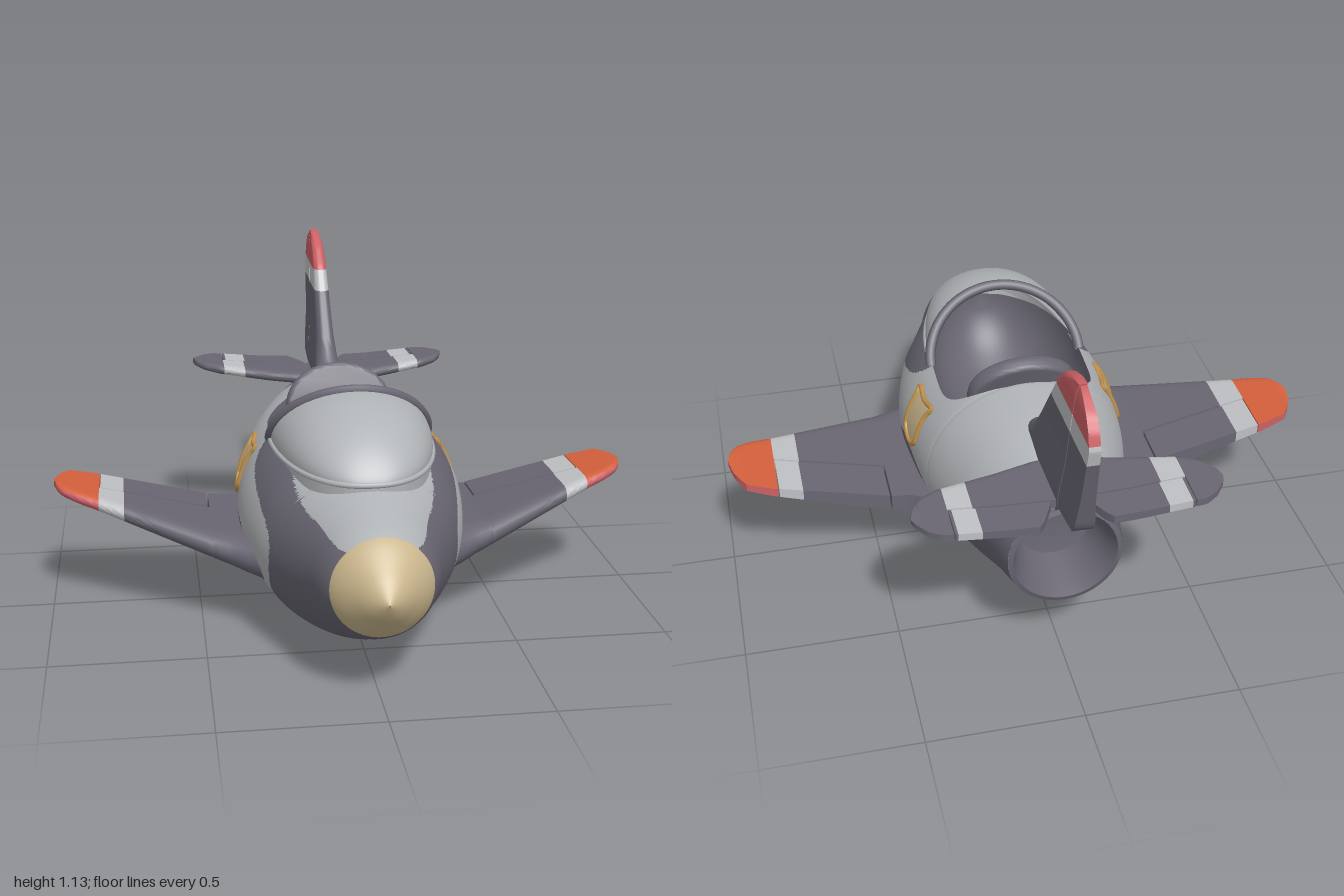
import * as THREE from 'three';
import { toCreasedNormals } from 'three/addons/utils/BufferGeometryUtils.js';

const paint = (name, color) => new THREE.MeshStandardMaterial({ name, color, side: THREE.DoubleSide });
const GREY = paint('light grey', 0xb0b3b6);
const DARK = paint('dark slate', 0x696672);
const STRIPE = paint('pale stripe', 0xbec0c3);
const TAN = paint('tan', 0xc9b58c);
const ORANGE = paint('orange', 0xd4603c);
const CORAL = paint('coral red', 0xcb6165);
const GOLD = paint('gold', 0xc0914c);

// Lookup through sorted [key, value] pairs, linear or smooth
function lut(pairs, smooth = false) {
  const slope = (i) => {
    const a = pairs[Math.max(i - 1, 0)], b = pairs[Math.min(i + 1, pairs.length - 1)];
    return (b[1] - a[1]) / (b[0] - a[0]);
  };
  return (x) => {
    if (x <= pairs[0][0]) return pairs[0][1];
    let i = 0;
    while (i < pairs.length - 2 && x > pairs[i + 1][0]) i++;
    const [x0, y0] = pairs[i], [x1, y1] = pairs[i + 1];
    const d = x1 - x0, t = Math.min((x - x0) / d, 1), u = 1 - t;
    if (!smooth) return y0 * u + y1 * t;
    return u * u * ((1 + 2 * t) * y0 + t * d * slope(i)) + t * t * ((3 - 2 * t) * y1 - u * d * slope(i + 1));
  };
}

// Surface from rows x cols points; pick(i, j, centre) gives each triangle its material index
function grid(name, rows, cols, point, mats, pick = () => 0, crease = 0) {
  const pos = [], faces = mats.map(() => []);
  for (let i = 0; i <= rows; i++) for (let j = 0; j <= cols; j++) pos.push(...point(i, j));
  for (let i = 0; i < rows; i++) for (let j = 0; j < cols; j++) {
    const a = i * (cols + 1) + j, b = a + 1, c = a + cols + 1, d = c + 1;
    for (const t of [[a, b, c], [b, d, c]]) {
      const mid = [0, 1, 2].map((k) => t.reduce((sum, v) => sum + pos[v * 3 + k], 0) / 3);
      faces[pick(i, j, mid)].push(...t);
    }
  }
  let geo = new THREE.BufferGeometry();
  geo.setAttribute('position', new THREE.Float32BufferAttribute(pos, 3));
  geo.setIndex(faces.flat());
  let start = 0;
  faces.forEach((f, k) => { if (f.length) geo.addGroup(start, f.length, k); start += f.length; });
  if (crease) geo = toCreasedNormals(geo, crease);
  else geo.computeVertexNormals();
  const mesh = new THREE.Mesh(geo, mats.length > 1 ? mats : mats[0]);
  mesh.name = name;
  return mesh;
}

function tube(name, points, radius, mat, closed = false) {
  const curve = new THREE.CatmullRomCurve3(points.map((p) => new THREE.Vector3(...p)), closed);
  const mesh = new THREE.Mesh(new THREE.TubeGeometry(curve, 80, radius, 8, closed), mat);
  mesh.name = name;
  return mesh;
}

// Fuselage stations: z, top, bottom, half width, height of widest point
const stations = [
  [-0.72, 0.595, 0.23, 0.182, 0.4125], [-0.55, 0.64, 0.16, 0.22, 0.405], [-0.4, 0.678, 0.11, 0.275, 0.395],
  [-0.2, 0.703, 0.05, 0.335, 0.38], [0, 0.705, 0.01, 0.362, 0.37], [0.2, 0.715, 0, 0.368, 0.36],
  [0.4, 0.68, 0.02, 0.333, 0.35], [0.55, 0.62, 0.06, 0.277, 0.35], [0.7, 0.575, 0.125, 0.215, 0.355],
  [0.86, 0.515, 0.203, 0.156, 0.36], [0.95, 0.435, 0.285, 0.075, 0.36], [0.985, 0.39, 0.33, 0.031, 0.36],
  [1, 0.363, 0.357, 0.003, 0.36],
];
const [topAt, bottomAt, widthAt, midAt] = [1, 2, 3, 4].map((k) => lut(stations.map((s) => [s[0], s[k]]), true));
const bodyPoint = (z, a) => {
  const c = Math.cos(a), m = midAt(z);
  return [widthAt(z) * Math.sin(a), m + c * (c > 0 ? topAt(z) - m : m - bottomAt(z)), z];
};
const bodyX = (y, z) => {
  const d = y - midAt(z), r = d > 0 ? topAt(z) - midAt(z) : midAt(z) - bottomAt(z);
  return widthAt(z) * Math.sqrt(Math.max(0, 1 - (d / r) ** 2));
};
// Cockpit opening half width, from z -0.19 to 0.55
const holeAt = (z) => 0.258 * Math.sqrt(Math.max(0, 1 - (z > 0.13 ? ((z - 0.13) / 0.42) ** 2 : ((0.13 - z) / 0.32) ** 6)));
const holeAngle = (z) => Math.asin(Math.min(1, holeAt(z) / widthAt(z)));

// Dark camouflage outlines in (z, y), smoothed
const camo = [
  [[1.1, 0.46], [0.84, 0.475], [0.7, 0.5], [0.6, 0.515], [0.5, 0.55], [0.42, 0.6], [0.36, 0.66], [0.18, 0.66], [0.12, 0.62],
    [0.17, 0.56], [0.3, 0.5], [0.42, 0.45], [0.49, 0.39], [0.495, 0.34], [0.46, 0.25], [0.4, 0.17], [0.36, 0.1],
    [0.3, 0.05], [0.2, 0.02], [0.15, -0.05], [1.1, -0.05]],
  [[-0.76, 0.585], [-0.55, 0.58], [-0.45, 0.53], [-0.4, 0.47], [-0.41, 0.42], [-0.35, 0.37], [-0.28, 0.28],
    [-0.27, 0.21], [-0.32, 0.165], [-0.4, 0.16], [-0.5, 0.18], [-0.6, 0.215], [-0.76, 0.225]],
  [[0.12, 0.36], [0.3, 0.28], [0.38, 0.22], [0.33, 0.185], [-0.1, 0.195], [-0.2, 0.22], [-0.21, 0.27], [-0.1, 0.33]],
].map((p) => new THREE.CatmullRomCurve3(p.map(([z, y]) => new THREE.Vector3(z, y, 0)), true).getPoints(120));
const inside = (poly, x, y) => poly.reduce((hit, p, i) => {
  const q = poly[(i + 1) % poly.length];
  return (p.y > y) !== (q.y > y) && x < ((q.x - p.x) * (y - p.y)) / (q.y - p.y) + p.x ? !hit : hit;
}, false);

// Slab-like foil panel between spans p0..p1, limited to z front..back, with closed ends
const N = 12, S = 12;
function panel(name, foil, p0, p1, mats, { front = () => 9, back = () => -9, pick } = {}) {
  const point = (i, j) => {
    const p = p0 + ((p1 - p0) * Math.min(Math.max(i - 1, 0), S)) / S;
    const le = foil.le(p), te = foil.te(p), thick = foil.thick(p);
    const zA = Math.min(le, front(p)), zB = Math.max(te, back(p));
    const cap = i === 0 || i === S + 2;
    const k = j > 2 * N + 1 ? 0 : j <= N ? j : 2 * N + 1 - j;
    const z = cap ? (zA + zB) / 2 : zA + (zB - zA) * (k / N) ** 2;
    const f = Math.min(1, Math.max(0, (le - z) / (le - te)));
    const round = Math.min(0.3, (0.8 * thick) / (le - te));
    const nose = Math.sqrt(1 - Math.max(0, 1 - f / round) ** 2);
    const half = cap ? 0 : 0.5 * thick * nose * (1.05 - 0.35 * f);
    return foil.place(p, j <= N || j > 2 * N + 1 ? half : -half, z);
  };
  return grid(name, S + 2, 2 * N + 2, point, mats, pick, 0.7);
}

const flat = (height) => (p, off, z) => [p, height(p) - off, z];
const wing = {
  le: lut([[0.28, 0.42], [0.35, 0.37], [0.4, 0.335], [0.83, 0.12], [0.9, 0.09], [0.95, 0.055], [0.975, 0.01], [0.98, -0.03]]),
  te: lut([[0.28, -0.21], [0.36, -0.2], [0.4, -0.185], [0.85, -0.18], [0.93, -0.165], [0.965, -0.11], [0.98, -0.04]]),
  thick: lut([[0.28, 0.16], [0.36, 0.12], [0.45, 0.088], [0.83, 0.046], [0.95, 0.036], [0.98, 0.024]]),
  place: flat(lut([[0.28, 0.257], [0.36, 0.264], [0.45, 0.282], [0.83, 0.387], [0.98, 0.427]])),
};
const tail = {
  le: lut([[0, -0.5], [0.05, -0.515], [0.38, -0.62], [0.44, -0.66], [0.47, -0.71], [0.478, -0.75]]),
  te: lut([[0, -0.72], [0.05, -0.73], [0.105, -0.845], [0.4, -0.845], [0.44, -0.82], [0.47, -0.78], [0.478, -0.76]]),
  thick: lut([[0, 0.042], [0.4, 0.034], [0.478, 0.022]]),
  place: flat(lut([[0, 0.622], [0.2, 0.63], [0.478, 0.655]])),
};
const fin = {
  le: lut([[0.58, -0.3], [0.69, -0.34], [0.705, -0.405], [1.03, -0.65], [1.09, -0.72], [1.125, -0.8], [1.132, -0.85]]),
  te: lut([[0.58, -0.71], [0.62, -0.75], [0.655, -0.915], [1, -1], [1.05, -0.985], [1.09, -0.955], [1.12, -0.9], [1.132, -0.87]]),
  thick: lut([[0.58, 0.1], [0.7, 0.085], [0.8, 0.064], [1.09, 0.044], [1.132, 0.028]]),
  place: (p, off, z) => [off, p, z],
};
const thinner = (foil) => ({ ...foil, thick: (p) => foil.thick(p) * 0.6 });

function makeSide(name) {
  const side = new THREE.Group();
  side.name = name;
  // Wing with a separate flap; the tip is orange above and coral below and along its edge
  const cut = { back: () => -0.018 }, flap = { front: () => -0.025 };
  side.add(
    panel('wingRoot', wing, 0.28, 0.46, [DARK]),
    panel('wingMiddle', wing, 0.46, 0.747, [DARK], cut),
    panel('wingStripe', wing, 0.747, 0.83, [STRIPE], cut),
    panel('wingTip', wing, 0.83, 0.98, [ORANGE, CORAL], { pick: (i, j) => (j > N && j < 2 * N - 1 ? 0 : 1) }),
    panel('flap', wing, 0.466, 0.75, [DARK], flap),
    panel('flapStripe', wing, 0.75, 0.827, [STRIPE], flap),
  );
  // Tailplane with a separate elevator on a thin hinge
  const tailCut = { back: () => -0.728 }, elevator = { front: () => -0.734 };
  side.add(
    panel('tailplane', tail, 0, 0.29, [DARK], tailCut),
    panel('tailplaneStripe', tail, 0.29, 0.367, [STRIPE], tailCut),
    panel('tailplaneTip', tail, 0.367, 0.478, [DARK]),
    panel('elevator', tail, 0.055, 0.283, [DARK], elevator),
    panel('elevatorStripe', tail, 0.283, 0.355, [STRIPE], elevator),
    panel('elevatorEnd', tail, 0.355, 0.364, [DARK], elevator),
    panel('elevatorHinge', thinner(tail), 0.06, 0.37, [DARK], { front: () => -0.71, back: () => -0.75 }),
  );
  // Plain shield plate wrapped on the flank
  const half = lut([[0.395, 0.015], [0.408, 0.045], [0.43, 0.064], [0.535, 0.068], [0.56, 0.078]]);
  const onBody = (y, s) => {
    const z = 0.01 + s * half(y);
    return [bodyX(y, z) + 0.003, y, z];
  };
  const rowY = (i) => 0.395 + 0.0165 * i;
  side.add(grid('shieldPlate', 10, 6, (i, j) => onBody(rowY(i), 1 - j / 3), [TAN]));
  const edge = [1, -1].map((s) => Array.from({ length: 11 }, (_, i) => onBody(rowY(i), s)));
  side.add(tube('shieldBorder', [...edge[0], onBody(0.552, 0), ...edge[1].reverse()], 0.009, GOLD, true));
  return side;
}

export function createModel() {
  const model = new THREE.Group();
  model.name = 'jet';

  // Fuselage with nose cone, camouflage and cockpit opening
  model.add(grid('fuselage', 172, 220, (i, j) => {
    const z = 1 - 0.01 * i, a0 = holeAngle(z);
    return bodyPoint(z, a0 + ((2 * Math.PI - 2 * a0) * j) / 220);
  }, [GREY, DARK, TAN], (i, j, [, y, z]) => (z > 0.86 ? 2 : camo.some((p) => inside(p, z, y)) ? 1 : 0)));

  // Cockpit tub hung from the rim of the opening
  model.add(grid('cockpitTub', 74, 24, (i, j) => {
    const z = 0.55 - 0.01 * i, a = (Math.PI * j) / 24, h = holeAt(z);
    return [-h * Math.cos(a), bodyPoint(z, holeAngle(z))[1] - 1.1 * h * Math.sin(a), z];
  }, [DARK]));

  // Canopy of leaning arches with a short skirt
  const arch = (phi, j) => {
    const a = Math.PI * Math.min(Math.max((j - 1) / 24, 0), 1) - Math.PI / 2, c = Math.cos(a);
    const zBase = 0.66 - 0.53 * (1 - Math.cos(phi)), lean = 0.16 * (1 - Math.cos(phi));
    const skirt = j === 0 || j === 26 ? 0.05 : 0;
    return [0.262 * Math.sin(phi) ** 0.85 * Math.sin(a), 0.605 + 0.197 * Math.sin(phi) ** 1.45 * c - skirt, zBase + lean * c];
  };
  model.add(grid('canopy', 24, 26, (i, j) => arch((Math.PI / 2) * (i / 24), j), [GREY]));
  model.add(tube('canopyFrame', Array.from({ length: 25 }, (_, j) => arch(Math.PI / 2, j + 1)), 0.018, DARK));
  model.add(tube('canopyLip', Array.from({ length: 33 }, (_, i) => arch((Math.PI / 32) * Math.abs(i - 16), i < 16 ? 1 : 25)), 0.009, GREY));

  // Rounded seat back leaning rearwards
  const back = new THREE.Shape().moveTo(-0.165, -0.2).lineTo(-0.165, 0.03)
    .bezierCurveTo(-0.155, 0.2, 0.155, 0.2, 0.165, 0.03).lineTo(0.165, -0.2);
  const seat = new THREE.Mesh(toCreasedNormals(new THREE.ExtrudeGeometry(back, {
    depth: 0.015, bevelThickness: 0.022, bevelSize: 0.018, bevelSegments: 5, curveSegments: 24,
  }), 0.8), DARK);
  seat.name = 'seatBack';
  seat.position.set(0, 0.61, -0.12);
  seat.rotation.x = -0.35;
  model.add(seat);

  // Hollow exhaust
  const duct = [[-0.72, 0.182], [-0.726, 0.166], [-0.68, 0.15], [-0.56, 0.12], [-0.54, 0]];
  model.add(grid('exhaust', 4, 40, (i, j) => {
    const [z, r] = duct[i], a = (Math.PI * j) / 20;
    return [r * Math.sin(a), 0.4125 + r * Math.cos(a), z];
  }, [DARK], undefined, 0.6));

  // Fin and rudder in colour bands, split at the slanted hinge
  const hinge = (y) => -0.74 - 0.24 * (y - 0.62);
  for (const [name, y0, y1, mat] of [['', 0.58, 0.945, DARK], ['Stripe', 0.945, 1.015, STRIPE], ['Tip', 1.015, 1.132, CORAL]]) {
    model.add(panel('fin' + name, fin, y0, y1, [mat], { back: (y) => hinge(y) + 0.003 }));
    model.add(panel('rudder' + name, fin, Math.max(y0, 0.625), y1, [mat], { front: (y) => hinge(y) - 0.003 }));
  }
  model.add(panel('rudderHinge', thinner(fin), 0.65, 1.12, [DARK], { front: (y) => hinge(y) + 0.02, back: (y) => hinge(y) - 0.02 }));

  // Left side and its mirror
  const right = makeSide('rightSide');
  right.scale.x = -1;
  model.add(makeSide('leftSide'), right);
  return model;
}
